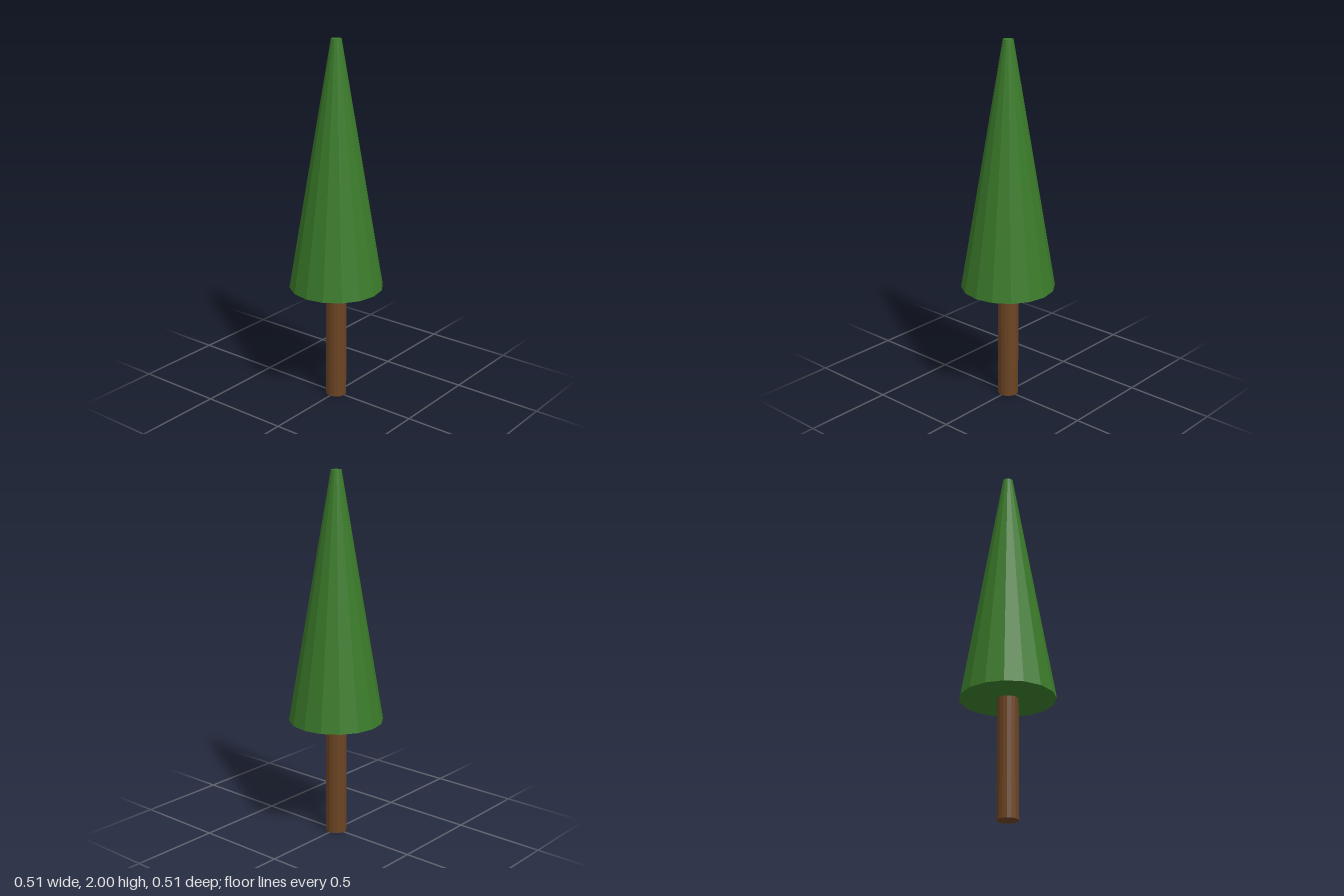
import * as THREE from 'three';

// Upright 16-sided cylinder from y0 to y1
function taperedPart(name, color, rTop, rBottom, y0, y1) {
  const geometry = new THREE.CylinderGeometry(rTop, rBottom, y1 - y0, 16);
  geometry.translate(0, (y0 + y1) / 2, 0);
  const material = new THREE.MeshStandardMaterial({ color, flatShading: true });
  const mesh = new THREE.Mesh(geometry, material);
  mesh.name = name;
  return mesh;
}

export function createModel() {
  const tree = new THREE.Group();
  tree.name = 'coniferTree';

  // Straight brown trunk, ending at the underside of the foliage
  tree.add(taperedPart('trunk', 0x6b4423, 0.057, 0.057, 0, 0.65));

  // Tall green foliage cone with a small blunt tip
  tree.add(taperedPart('foliage', 0x3a7a2a, 0.028, 0.257, 0.65, 2));

  return tree;
}
